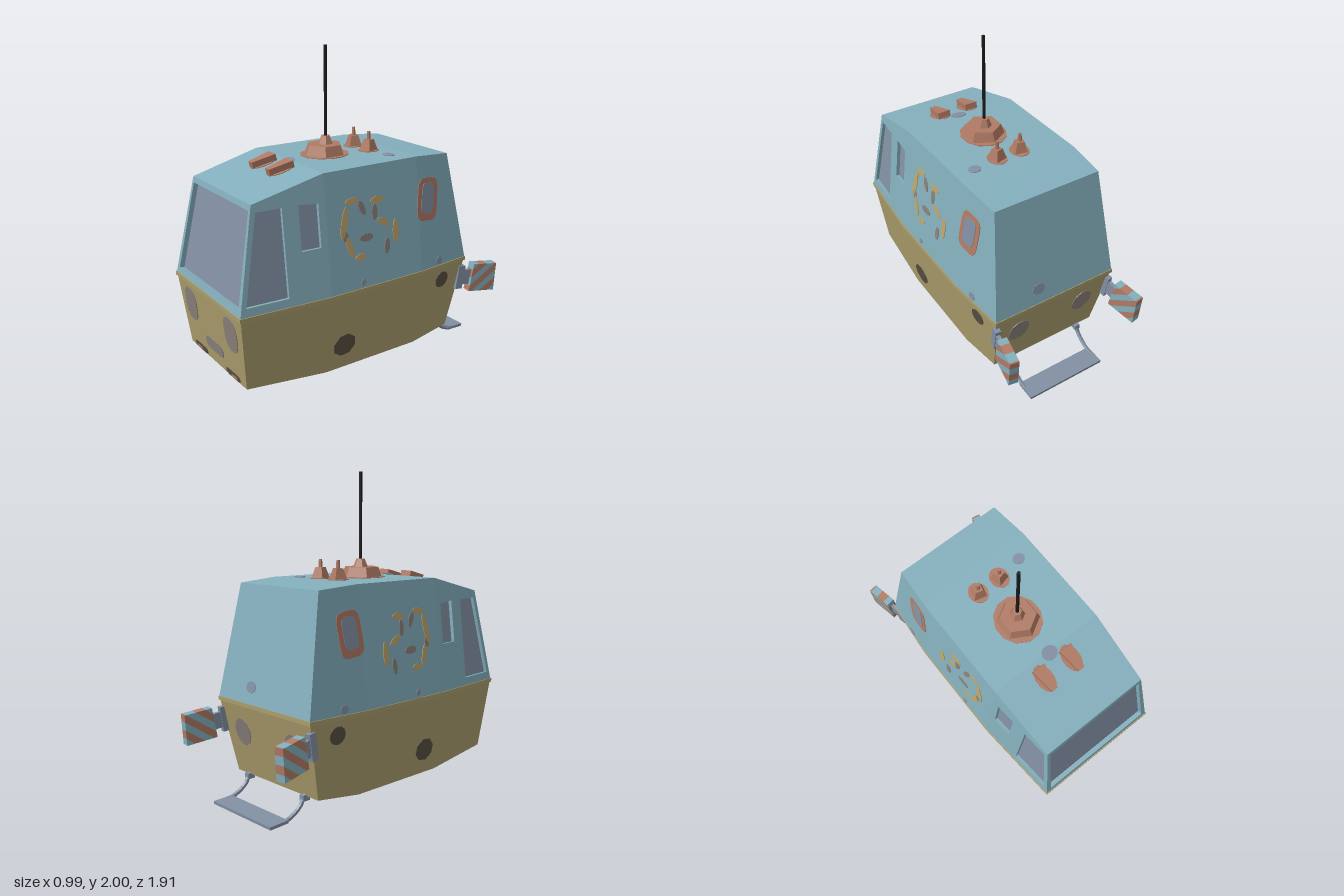
import * as THREE from 'three';

const material = (name, color) => new THREE.MeshStandardMaterial({ name, color });
const V = (x, y, z) => new THREE.Vector3(x, y, z);

export function createModel() {
  const blue = material('blue paint', 0x84afbd), yellow = material('ochre paint', 0xab9d6c);
  const rust = material('rust orange', 0xb07a64), steel = material('blue grey steel', 0x8290a3);
  const black = material('black rod', 0x1a1a1a), gold = material('worn gold', 0xbfa468);
  const grey = material('worn grey', 0x8b817b), dark = material('dark underside', 0x565040);
  const model = new THREE.Group();

  const add = (name, geo, mat, parent = model) => {
    const m = new THREE.Mesh(geo.index ? geo.toNonIndexed() : geo, mat);
    m.geometry.computeVertexNormals();
    m.name = name;
    parent.add(m);
    return m;
  };
  const quad = (list, a, b, c, d) => list.push(a, b, c, a, c, d);
  const addFaces = (name, list, mat) => add(name, new THREE.BufferGeometry().setFromPoints(list), mat);

  // Half width of the cabin at a height and depth: sides lean in from the waist and towards both ends
  const WAIST = 0.62;
  const halfWidth = (y, z) => 0.465 - (y > WAIST ? 0.118 * (y - WAIST) : 0.125 * (WAIST - y))
    - 0.079 * Math.max(0, z - 0.38) - 0.0875 * Math.max(0, -0.3 - z);
  const S = (z, y) => V(halfWidth(y, z), y, z);
  const flip = p => V(-p.x, p.y, p.z);
  const flipAll = list => list.map(flip).reverse();

  // Cabin stations from front to back: roof, waist, floor as [z, y]
  const stations = [
    { r: [0.83, 1.23], w: [0.95, WAIST], b: [0.9, 0.145] },
    { r: [0.6, 1.286], w: [0.6, WAIST], b: [0.6, 0.119] },
    { r: [0.38, 1.34], w: [0.38, WAIST], b: [0.38, 0.1] },
    { r: [-0.3, 1.34], w: [-0.3, WAIST], b: [-0.3, 0.1] },
    { r: [-0.57, 1.32], w: [-0.7, WAIST], b: [-0.6, 0.135] },
  ].map(s => ({ r: S(...s.r), w: S(...s.w), b: S(...s.b) }));
  const upper = [], lower = [], floor = [], glass = [];

  // Wall with a recessed window; corners run counter-clockwise from outside
  const windowWall = (outer, hole, depth) => {
    const n = hole[1].clone().sub(hole[0]).cross(hole[3].clone().sub(hole[0])).normalize();
    const pane = hole.map(p => p.clone().addScaledVector(n, -depth));
    for (let i = 0; i < 4; i++) {
      const j = (i + 1) % 4;
      quad(upper, outer[i], outer[j], hole[j], hole[i]);
      quad(upper, hole[i], hole[j], pane[j], pane[i]);
    }
    quad(glass, ...pane);
  };
  const sideWindows = [
    [S(0.91, 0.67), S(0.65, 0.67), S(0.65, 1.185), S(0.808, 1.185)],
    [S(0.55, 0.92), S(0.425, 0.92), S(0.425, 1.175), S(0.55, 1.185)],
  ];
  for (let i = 0; i < 4; i++) {
    const f = stations[i], k = stations[i + 1];
    const top = [f.w, k.w, k.r, f.r], low = [f.b, k.b, k.w, f.w];
    if (sideWindows[i]) {
      windowWall(top, sideWindows[i], 0.022);
      windowWall(flipAll(top), flipAll(sideWindows[i]), 0.022);
    } else {
      quad(upper, ...top);
      quad(upper, ...flipAll(top));
    }
    quad(lower, ...low);
    quad(lower, ...flipAll(low));
    quad(upper, flip(f.r), f.r, k.r, flip(k.r));
    quad(floor, flip(k.b), k.b, f.b, flip(f.b));
  }
  const F = stations[0], B = stations[4];
  const frontZ = y => 0.95 - (y - WAIST) * 0.12 / 0.61;
  windowWall([flip(F.w), F.w, F.r, flip(F.r)],
    [[-0.385, 0.655], [0.385, 0.655], [0.34, 1.195], [-0.34, 1.195]].map(([x, y]) => V(x, y, frontZ(y))), 0.03);
  quad(lower, flip(F.b), F.b, F.w, flip(F.w));
  quad(upper, B.w, flip(B.w), flip(B.r), B.r);
  quad(lower, B.b, flip(B.b), flip(B.w), B.w);
  addFaces('upperCabin', upper, blue);
  addFaces('lowerCabin', lower, yellow);
  addFaces('underside', floor, dark);
  addFaces('windowGlass', glass, steel);

  // Slim lip around the waist
  const ws = [0, 2, 3, 4].map(i => stations[i].w);
  const outline = [...ws, ...ws.map(flip).reverse()].map(p => new THREE.Vector2(p.x * 1.012, -p.z * 1.006));
  const lip = new THREE.ExtrudeGeometry(new THREE.Shape(outline), { depth: 0.025, bevelEnabled: false });
  add('waistLip', lip.rotateX(-Math.PI / 2).translate(0, 0.595, 0), yellow);

  // Thin painted patch: rounded outline laid on a surface
  const patch = (name, mat, pos, normal, rx, ry, { n = 12, power = 1, tilt = 0, depth = 0.004 } = {}) => {
    const pts = Array.from({ length: n }, (_, i) => {
      const a = (i + 0.5) / n * Math.PI * 2, c = Math.cos(a), s = Math.sin(a);
      return new THREE.Vector2(rx * Math.sign(c) * Math.abs(c) ** power, ry * Math.sign(s) * Math.abs(s) ** power);
    });
    const geo = new THREE.ExtrudeGeometry(new THREE.Shape(pts), { depth, bevelEnabled: false }).rotateZ(tilt);
    const m = add(name, geo, mat);
    m.position.copy(pos);
    m.quaternion.setFromUnitVectors(V(0, 0, 1), normal.clone().normalize());
  };
  const sidePatch = (name, mat, z, y, rx, ry, opt = {}) => {
    const n = V(1, y > WAIST ? 0.118 : -0.125, z > 0.38 ? 0.079 : z < -0.3 ? -0.0875 : 0);
    patch(name, mat, S(z, y), n, rx, ry, opt);
    patch(name, mat, flip(S(z, y)), flip(n), rx, ry, { ...opt, tilt: -(opt.tilt || 0) });
  };
  sidePatch('sideSpot', dark, 0.26, 0.26, 0.082, 0.075, { n: 8 });
  sidePatch('sideSpot', dark, -0.5, 0.505, 0.056, 0.056);
  sidePatch('hatchFrame', rust, -0.378, 1.063, 0.085, 0.135, { n: 16, power: 0.45 });
  sidePatch('hatchPane', steel, -0.378, 1.07, 0.052, 0.095, { n: 16, power: 0.45, depth: 0.007 });
  sidePatch('waistScuff', steel, 0.15, 0.655, 0.018, 0.02, { n: 8 });
  sidePatch('waistScuff', steel, -0.46, 0.65, 0.028, 0.026, { n: 8 });

  // Flaked paint on the flanks: [colour, z, y, rx, ry, tilt]
  for (const [mat, z, y, rx, ry, tilt] of [
    [gold, 0.262, 1.03, 0.022, 0.1, -0.1], [gold, 0.2, 1.15, 0.05, 0.02, 0.2], [gold, 0.23, 0.88, 0.02, 0.07, 0.4],
    [gold, 0.16, 0.81, 0.04, 0.02, 0.2], [gold, 0.02, 1.13, 0.05, 0.022, 0.2], [gold, -0.02, 0.99, 0.05, 0.02, -0.4],
    [gold, -0.11, 0.92, 0.022, 0.075, 0.1], [grey, 0.13, 1.1, 0.02, 0.05, 0.5], [grey, 0.11, 0.92, 0.05, 0.025, 0.1],
    [grey, 0.04, 1.06, 0.02, 0.05, 0.1], [grey, -0.04, 0.84, 0.02, 0.05, 0], [grey, 0.26, 0.95, 0.02, 0.03, 0],
  ]) sidePatch('flakedPaint', mat, z, y, rx, ry, { n: 9, tilt });

  // Front and back patches
  const lowFront = (x, y) => V(x, y, 0.95 - (WAIST - y) * 0.05 / 0.475);
  const lowFrontN = V(0, -0.05, 0.475), backN = V(0, -0.1, -0.485), roofN = V(0, 1, 0), slopeN = V(0, 0.45, 0.11);
  patch('frontPlate', grey, lowFront(0, 0.265), lowFrontN, 0.11, 0.04, { n: 16, power: 0.4 });
  patch('backScuff', steel, V(0.12, 0.72, -0.681), V(0, 0.13, -0.7), 0.045, 0.035);
  for (const s of [-1, 1]) {
    patch('frontSpot', grey, lowFront(s * 0.26, 0.455), lowFrontN, 0.078, 0.11, { n: 16, power: 0.75 });
    patch('frontNotch', dark, lowFront(s * 0.21, 0.168), lowFrontN, 0.085, 0.02, { n: 8, power: 0.4 });
    patch('frontRust', rust, lowFront(s * 0.23, 0.162), lowFrontN, 0.035, 0.009, { n: 8, power: 0.5, depth: 0.007 });
    patch('backSpot', grey, V(s * 0.24, 0.42, -0.659), backN, 0.075, 0.09);
    patch('roofRust', rust, V(s * 0.08, 1.34, -0.165), roofN, 0.06, 0.07);
    patch('slopeRust', rust, V(s * 0.1, 1.314, 0.488), slopeN, 0.055, 0.09);
  }
  patch('roofRust', rust, V(0, 1.34, 0.115), roofN, 0.145, 0.155);
  patch('roofScuff', steel, V(0.25, 1.34, -0.19), roofN, 0.04, 0.035);
  patch('roofScuff', steel, V(0.015, 1.338, 0.39), slopeN, 0.05, 0.045);

  // Roof mast on a hexagonal base
  const post = (name, mat, top, bottom, y0, y1, sides, x, z, yaw = 0) =>
    add(name, new THREE.CylinderGeometry(top, bottom, y1 - y0, sides).rotateY(yaw).translate(x, (y0 + y1) / 2, z), mat);
  post('mastBase', rust, 0.11, 0.135, 1.335, 1.405, 6, 0, 0.115);
  post('mastCollar', rust, 0.028, 0.048, 1.405, 1.455, 6, 0, 0.105);
  post('mast', black, 0.01, 0.01, 1.45, 2, 8, 0, 0.105);

  for (const s of [-1, 1]) {
    // Roof studs and wedge lamps
    post('studBase', rust, 0.033, 0.06, 1.335, 1.41, 4, s * 0.08, -0.165, Math.PI / 4 + s * 0.25);
    post('studPin', rust, 0.011, 0.013, 1.41, 1.46, 6, s * 0.08, -0.165);
    const lamp = new THREE.BoxGeometry(0.085, 0.055, 0.155);
    const p = lamp.attributes.position;
    for (let i = 0; i < p.count; i++) if (p.getZ(i) > 0) p.setX(i, p.getX(i) * 0.5);
    const lampMesh = add('wedgeLamp', lamp, rust);
    lampMesh.position.set(s * 0.1, 1.326, 0.497);
    lampMesh.rotation.x = 0.24;

    // Bumper arm
    const path = new THREE.CatmullRomCurve3(
      [[0.15, -0.56], [0.135, -0.6], [0.075, -0.64], [0.022, -0.73], [0.015, -0.78]].map(([y, z]) => V(s * 0.262, y, z)));
    add('bumperArm', new THREE.TubeGeometry(path, 8, 0.014, 5), steel);
    add('bumperMount', new THREE.BoxGeometry(0.035, 0.035, 0.05).translate(s * 0.262, 0.125, -0.6), steel);

    // Striped rear marker box, cut into diagonal slabs
    const marker = new THREE.Group();
    marker.name = 'rearMarker';
    const clip = (pts, k, sign) => pts.flatMap((a, i) => {
      const b = pts[(i + 1) % pts.length];
      const da = sign * (a.y - a.x * 0.85 - k), db = sign * (b.y - b.x * 0.85 - k);
      const out = da >= 0 ? [a] : [];
      if (da * db < 0) out.push(a.clone().lerp(b, da / (da - db)));
      return out;
    });
    const face = [[-0.1, -0.095], [0.1, -0.095], [0.09, 0.095], [-0.09, 0.095]].map(q => new THREE.Vector2(...q));
    for (let i = 0; i < 7; i++) {
      const k = -0.189 + i * 0.054;
      const slab = clip(clip(face, k, 1), k + 0.054, -1);
      if (slab.length < 3) continue;
      const geo = new THREE.ExtrudeGeometry(new THREE.Shape(slab), { depth: 0.06, bevelEnabled: false });
      add('markerStripe', geo.translate(0, 0, -0.03).rotateY(Math.PI / 2), i % 2 ? rust : blue, marker);
    }
    marker.position.set(s * 0.447, 0.452, -0.845);
    marker.rotation.set(-0.12, -s * 0.17, 0, 'YXZ');
    model.add(marker);

    // Marker bracket
    const bracket = new THREE.Group();
    bracket.name = 'markerBracket';
    add('bracketPlate', new THREE.BoxGeometry(0.035, 0.16, 0.05), steel, bracket).position.set(0, 0, 0.035);
    add('bracketArm', new THREE.BoxGeometry(0.025, 0.1, 0.1), steel, bracket).position.set(0, 0, -0.02);
    bracket.position.set(s * 0.422, 0.47, -0.71);
    bracket.rotation.set(-0.15, -s * 0.15, 0, 'YXZ');
    model.add(bracket);
  }

  // Rear bumper step
  const step = add('bumperStep', new THREE.BoxGeometry(0.55, 0.018, 0.13), steel);
  step.position.set(0, 0.015, -0.797);
  step.rotation.x = -0.04;
  return model;
}
